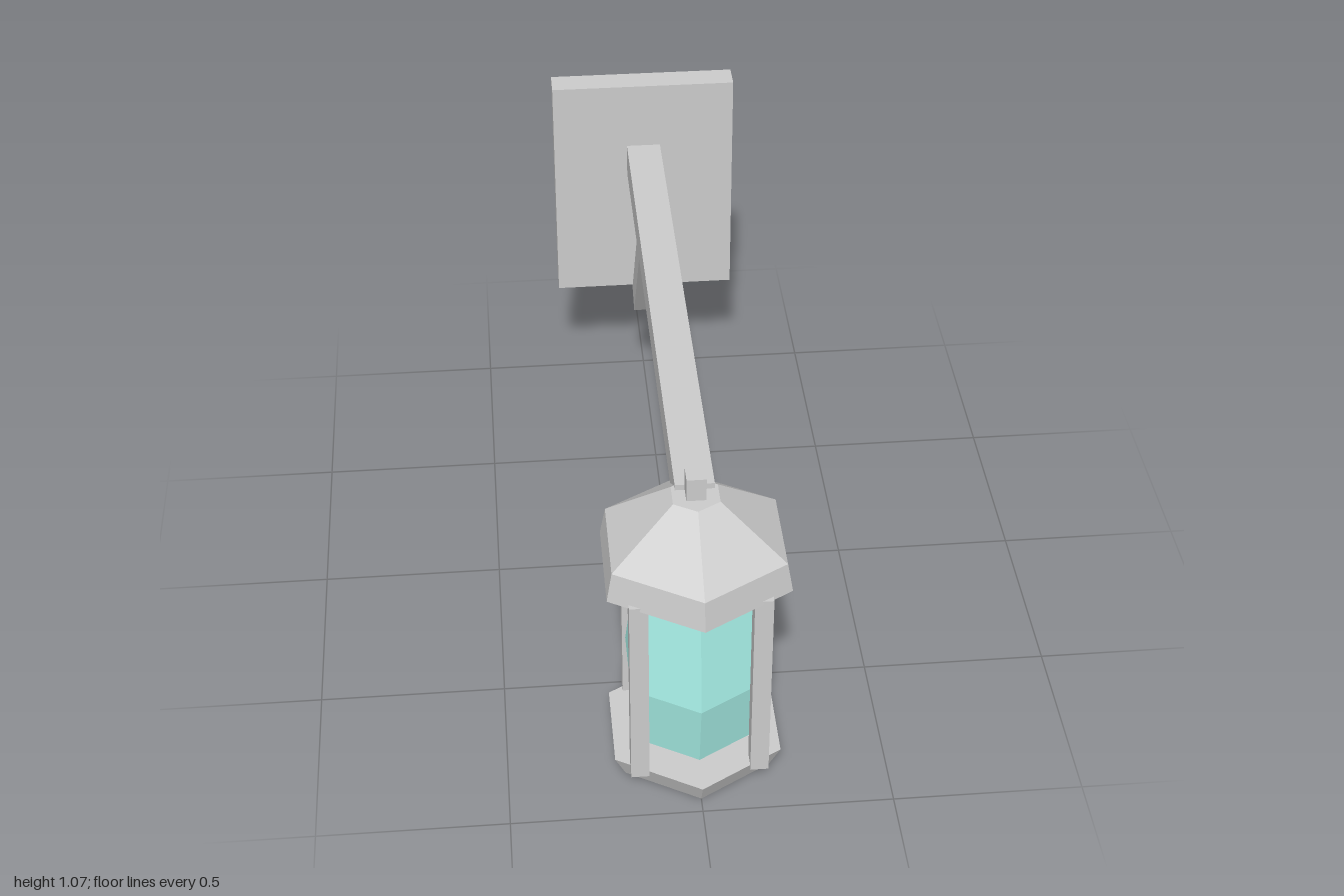
import * as THREE from 'three';

const LAMP_Z = 0.735;

export function createModel() {
  const model = new THREE.Group();
  model.name = 'wallLantern';
  const grey = new THREE.MeshStandardMaterial({ color: 0xcccccc, flatShading: true });
  const teal = new THREE.MeshStandardMaterial({ color: 0xa8f0e8, flatShading: true });

  const add = (parent, name, geometry, material = grey) => {
    const mesh = new THREE.Mesh(geometry, material);
    mesh.name = name;
    parent.add(mesh);
    return mesh;
  };

  // Box given by its lower and upper corners
  const box = (parent, name, [x0, y0, z0], [x1, y1, z1]) => {
    const mesh = add(parent, name, new THREE.BoxGeometry(x1 - x0, y1 - y0, z1 - z0));
    mesh.position.set((x0 + x1) / 2, (y0 + y1) / 2, (z0 + z1) / 2);
    return mesh;
  };

  // Closed six-sided solid from [radius, y] rings, one corner facing +z
  const hexSolid = (parent, name, rings, material) => {
    const profile = [[0, rings[0][1]], ...rings, [0, rings.at(-1)[1]]];
    const points = profile.map(([r, y]) => new THREE.Vector2(r, y));
    return add(parent, name, new THREE.LatheGeometry(points, 6), material);
  };

  // Wall plate and horizontal arm
  box(model, 'wallPlate', [-0.27, 0.357, -1], [0.27, 1.065, -0.92]);
  box(model, 'arm', [-0.05, 0.765, -0.92], [0.05, 0.863, 0.715]);

  // Slanted brace, its upper end buried in the arm
  const low = new THREE.Vector3(0, 0.3675, -0.8275);
  const high = new THREE.Vector3(0, 0.81, -0.527);
  const brace = add(model, 'brace', new THREE.BoxGeometry(0.084, low.distanceTo(high), 0.079));
  brace.position.copy(low).lerp(high, 0.5);
  brace.rotation.x = Math.atan2(high.z - low.z, high.y - low.y);

  // Lantern at the end of the arm
  const lantern = new THREE.Group();
  lantern.name = 'lantern';
  lantern.position.z = LAMP_Z;
  model.add(lantern);

  hexSolid(lantern, 'base', [[0.22, 0], [0.252, 0.067]]);
  hexSolid(lantern, 'glass', [[0.165, 0.087], [0.2, 0.29], [0.163, 0.575]], teal);
  hexSolid(lantern, 'roof', [[0.268, 0.63], [0.252, 0.712], [0.068, 0.847]]);
  box(lantern, 'finial', [-0.025, 0.84, -0.025], [0.025, 0.912, 0.025]);

  // Four corner posts
  for (const sx of [-1, 1]) {
    for (const sz of [-1, 1]) {
      const post = box(lantern, 'post', [-0.024, 0.053, -0.024], [0.024, 0.64, 0.024]);
      post.position.x = sx * 0.156;
      post.position.z = sz * 0.155;
    }
  }

  return model;
}
